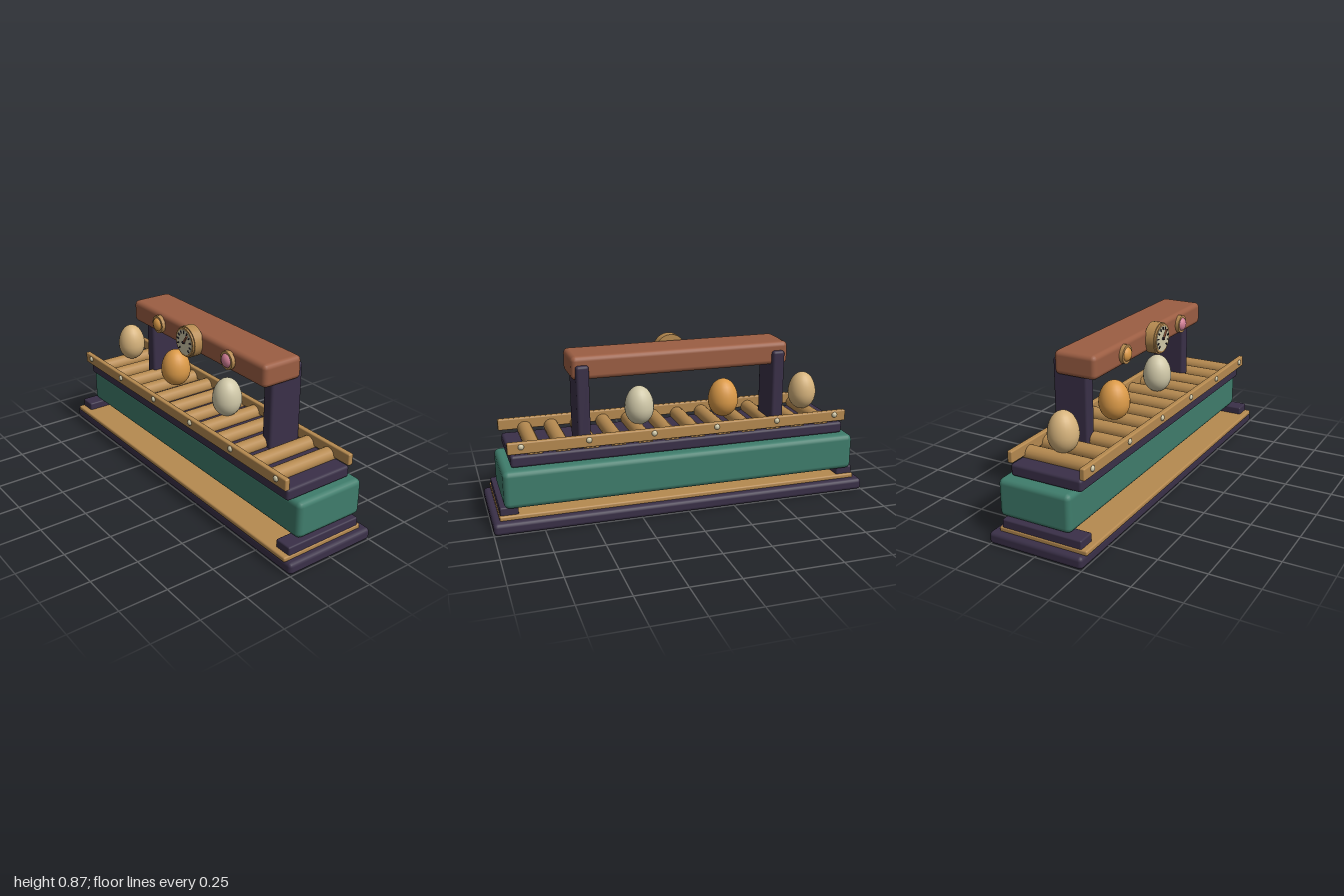
import * as THREE from 'three';
import { RoundedBoxGeometry } from 'three/addons/geometries/RoundedBoxGeometry.js';

const mat = (name, color) => {
  const m = new THREE.MeshStandardMaterial({ color });
  m.name = name;
  return m;
};

export function createModel() {
  const model = new THREE.Group();
  const plum = mat('dark plum', 0x3a3048);
  const green = mat('green enamel', 0x3f7d6c);
  const rust = mat('rust', 0x9c5e43);
  const brass = mat('brass', 0xb68a50);
  const tan = mat('tan shell', 0xd6b37c);
  const amber = mat('amber', 0xdb9a48);
  const cream = mat('cream', 0xd0c8a8);
  const pink = mat('pink', 0xd27f96);
  const ink = mat('ink', 0x221d2a);

  const add = (name, geometry, material, x = 0, y = 0, z = 0, parent = model) => {
    const mesh = new THREE.Mesh(geometry, material);
    mesh.name = name;
    mesh.position.set(x, y, z);
    parent.add(mesh);
    return mesh;
  };
  // Rounded block given by its lower and upper limits
  const block = (name, material, x0, x1, y0, y1, z0, z1, r) =>
    add(name, new RoundedBoxGeometry(x1 - x0, y1 - y0, z1 - z0, 2, r), material,
      (x0 + x1) / 2, (y0 + y1) / 2, (z0 + z1) / 2);
  // Disc whose axis points along z
  const disc = (name, material, r, z0, z1, x, y, sides = 16, parent = model) =>
    add(name, new THREE.CylinderGeometry(r, r, z1 - z0, sides).rotateX(Math.PI / 2),
      material, x, y, (z0 + z1) / 2, parent);

  // Base, tray and body
  block('base', plum, -1, 1, 0, 0.062, -0.257, 0.252, 0.02);
  block('tray', brass, -0.965, 0.965, 0.058, 0.084, -0.218, 0.26, 0.008);
  for (const s of [-1, 1]) {
    block('foot', plum, s * 0.915 - 0.046, s * 0.915 + 0.046, 0.075, 0.125, -0.203, 0.229, 0.008);
  }
  block('body', green, -0.94, 0.94, 0.122, 0.316, -0.235, 0.157, 0.028);
  block('deck', plum, -0.893, 0.893, 0.32, 0.381, -0.19, 0.192, 0.014);

  // Conveyor rollers
  for (let i = 0; i < 12; i++) {
    const roller = new THREE.CylinderGeometry(0.039, 0.039, 0.366, 16).rotateX(Math.PI / 2);
    add('roller', roller, brass, -0.77 + i * 0.14, 0.393, 0.003);
  }

  // Side rails with rivets
  for (const [z, s] of [[0.206, 1], [-0.181, -1]]) {
    block('rail', brass, -0.907, 0.907, 0.39, 0.45, z - 0.014, z + 0.014, 0.007);
    for (let i = 0; i < 6; i++) {
      const rivet = new THREE.SphereGeometry(0.015, 12, 8).scale(1, 1, 0.75);
      add('rivet', rivet, cream, -0.84 + i * 0.336, 0.428, z + s * 0.014);
    }
  }

  // Gantry
  for (const s of [-1, 1]) {
    const x = s * 0.517 + 0.004;
    block('post', plum, x - 0.033, x + 0.033, 0.37, 0.798, -0.174, 0.013, 0.014);
  }
  block('beam', rust, -0.572, 0.572, 0.722, 0.842, -0.152, 0.077, 0.025);

  // Gauge on the beam
  const gauge = new THREE.Group();
  gauge.name = 'gauge';
  gauge.position.set(0, 0.788, 0);
  model.add(gauge);
  disc('gaugeBody', brass, 0.082, 0.07, 0.122, 0, 0, 24, gauge);
  disc('gaugeBezel', brass, 0.076, 0.122, 0.132, 0, 0, 24, gauge);
  disc('gaugeFace', cream, 0.066, 0.13, 0.134, 0, 0, 24, gauge);
  for (let i = 0; i < 11; i++) {
    const a = (-135 + i * 27) * Math.PI / 180;
    const tick = add('tick', new THREE.BoxGeometry(0.006, 0.014, 0.005), ink,
      Math.sin(a) * 0.054, Math.cos(a) * 0.054, 0.135, gauge);
    tick.rotation.z = -a;
  }
  const needle = add('needle', new THREE.BoxGeometry(0.008, 0.058, 0.008), rust,
    0.014, 0.018, 0.139, gauge);
  needle.rotation.z = -0.65;
  disc('needleHub', ink, 0.008, 0.134, 0.143, 0, 0, 12, gauge);

  // Lamps on either side of the gauge
  for (const [x, material] of [[-0.303, amber], [0.303, pink]]) {
    disc('lampRing', brass, 0.048, 0.07, 0.097, x, 0.783, 12);
    const lens = new THREE.SphereGeometry(0.037, 16, 12).scale(1, 1, 0.7);
    add('lampLens', lens, material, x, 0.783, 0.09);
  }

  // Eggs riding on the rollers
  for (const [x, r, material] of [[-0.737, 0.076, tan], [-0.273, 0.081, amber], [0.193, 0.077, cream]]) {
    const profile = [];
    for (let i = 0; i <= 16; i++) {
      const a = -Math.PI / 2 + i * Math.PI / 16;
      profile.push(new THREE.Vector2(Math.max(0, Math.cos(a) * r),
        Math.sin(a) * (a < 0 ? 0.092 : 0.115)));
    }
    add('egg', new THREE.LatheGeometry(profile, 24), material, x, 0.511, 0.003);
  }
  return model;
}
